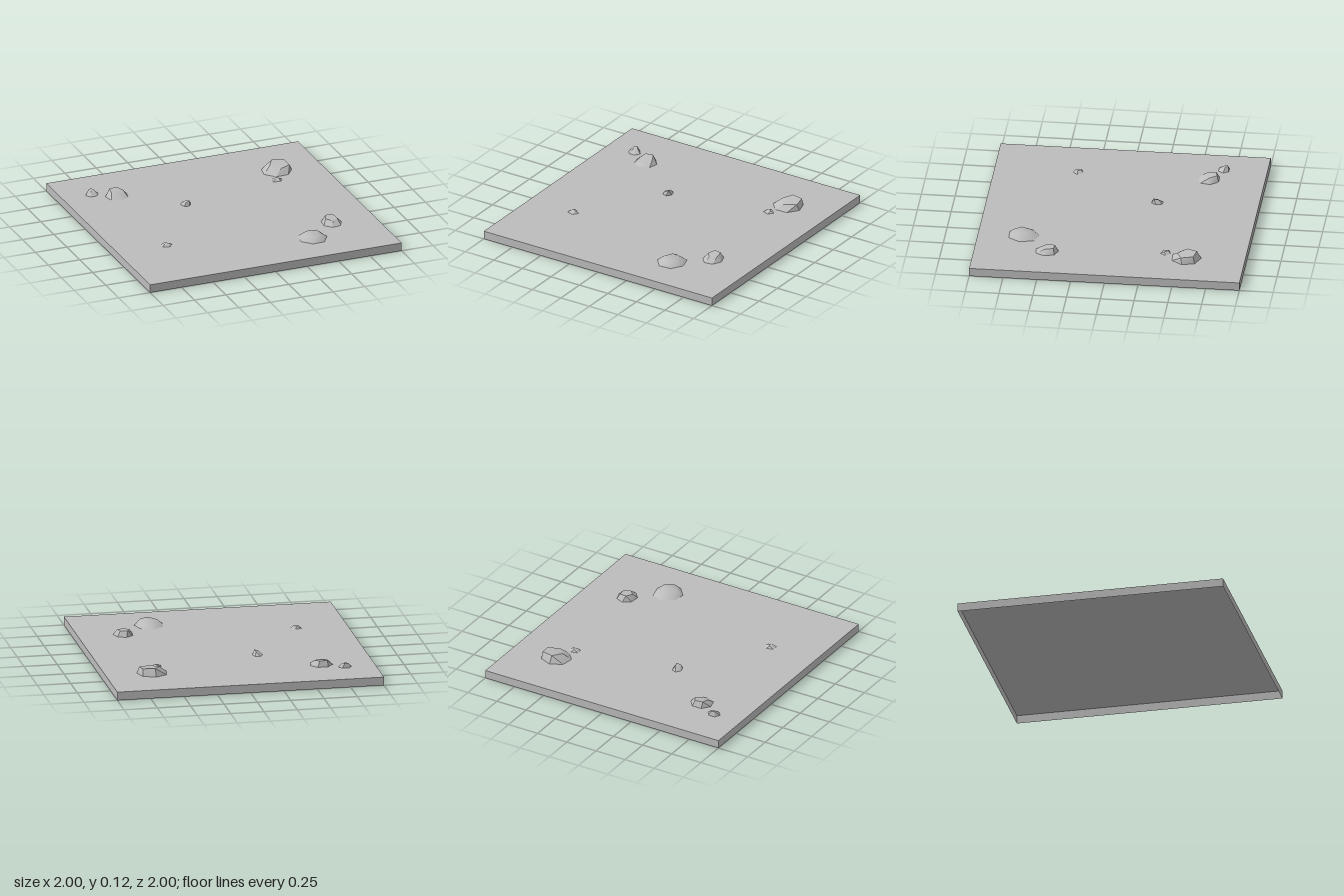
import * as THREE from 'three';
import { ConvexGeometry } from 'three/addons/geometries/ConvexGeometry.js';
import { toCreasedNormals } from 'three/addons/utils/BufferGeometryUtils.js';

const GROUND = 0.063;

// Ring of corners on an ellipse; heightAt gives y from the position on the ellipse
function ring(sides, turn, x, z, rx, rz, heightAt) {
  return Array.from({ length: sides }, (_, i) => {
    const a = THREE.MathUtils.degToRad(turn) + (i * 2 * Math.PI) / sides;
    const c = Math.cos(a), s = Math.sin(a);
    return new THREE.Vector3(x + rx * c, heightAt(c, s), z + rz * s);
  });
}

// Rock with a footprint on the ground and a smaller, shifted and tilted crown
function rockGeometry({ x, z, rx, rz, sides, turn, crown, dx = 0, dz = 0, top, tiltX = 0, tiltZ = 0, crease = 0.5 }) {
  const foot = ring(sides, turn, x, z, rx, rz, () => GROUND + 0.001);
  const cap = ring(sides - 2, turn + 20, x + dx, z + dz, rx * crown, rz * crown,
    (c, s) => top + tiltX * c + tiltZ * s);
  return toCreasedNormals(new ConvexGeometry([...foot, ...cap]), crease);
}

export function createModel() {
  const group = new THREE.Group();
  const stone = new THREE.MeshStandardMaterial({ color: 0xbcbcbc, side: THREE.DoubleSide });
  stone.name = 'greyStone';

  const add = (name, geometry) => {
    const mesh = new THREE.Mesh(geometry, stone);
    mesh.name = name;
    group.add(mesh);
  };

  // Thin ground tile, hollow and open underneath
  add('groundTop', new THREE.PlaneGeometry(2, 2).rotateX(-Math.PI / 2).translate(0, GROUND, 0));
  for (let i = 0; i < 4; i++) {
    const wall = new THREE.PlaneGeometry(2, GROUND);
    add('groundSide' + (i + 1), wall.translate(0, GROUND / 2, 1).rotateY((i * Math.PI) / 2));
  }

  // Large rocks
  add('backLeftRock', rockGeometry({ x: -0.61, z: -0.585, rx: 0.087, rz: 0.086, sides: 7, turn: -13,
    crown: 0.6, dz: -0.018, top: 0.102, tiltZ: -0.007 }));
  add('backRightRock', rockGeometry({ x: 0.65, z: -0.565, rx: 0.115, rz: 0.112, sides: 7, turn: 10,
    crown: 0.68, dx: 0.025, dz: -0.01, top: 0.113, tiltZ: -0.008 }));
  add('frontRightRock', rockGeometry({ x: 0.663, z: 0.465, rx: 0.076, rz: 0.087, sides: 7, turn: 6,
    crown: 0.62, dz: -0.012, top: 0.102, tiltZ: -0.005 }));
  add('frontRoundedRock', rockGeometry({ x: 0.43, z: 0.662, rx: 0.11, rz: 0.119, sides: 7, turn: 9,
    crown: 0.58, dz: 0.012, top: 0.103, tiltX: 0.003, crease: 1.3 }));

  // Pebbles
  add('backLeftPebble', rockGeometry({ x: -0.77, z: -0.68, rx: 0.05, rz: 0.044, sides: 6, turn: 0,
    crown: 0.4, dz: -0.016, top: 0.097, tiltZ: -0.003 }));
  add('backRightPebble', rockGeometry({ x: 0.587, z: -0.407, rx: 0.043, rz: 0.039, sides: 5, turn: 0,
    crown: 0.45, top: 0.08 }));
  add('middlePebble', rockGeometry({ x: -0.2, z: -0.255, rx: 0.038, rz: 0.046, sides: 6, turn: 12,
    crown: 0.58, dz: 0.01, top: 0.09, tiltX: 0.009, tiltZ: 0.004 }));
  add('frontLeftPebble', rockGeometry({ x: -0.617, z: 0.38, rx: 0.046, rz: 0.04, sides: 5, turn: 0,
    crown: 0.45, top: 0.08 }));
  return group;
}
